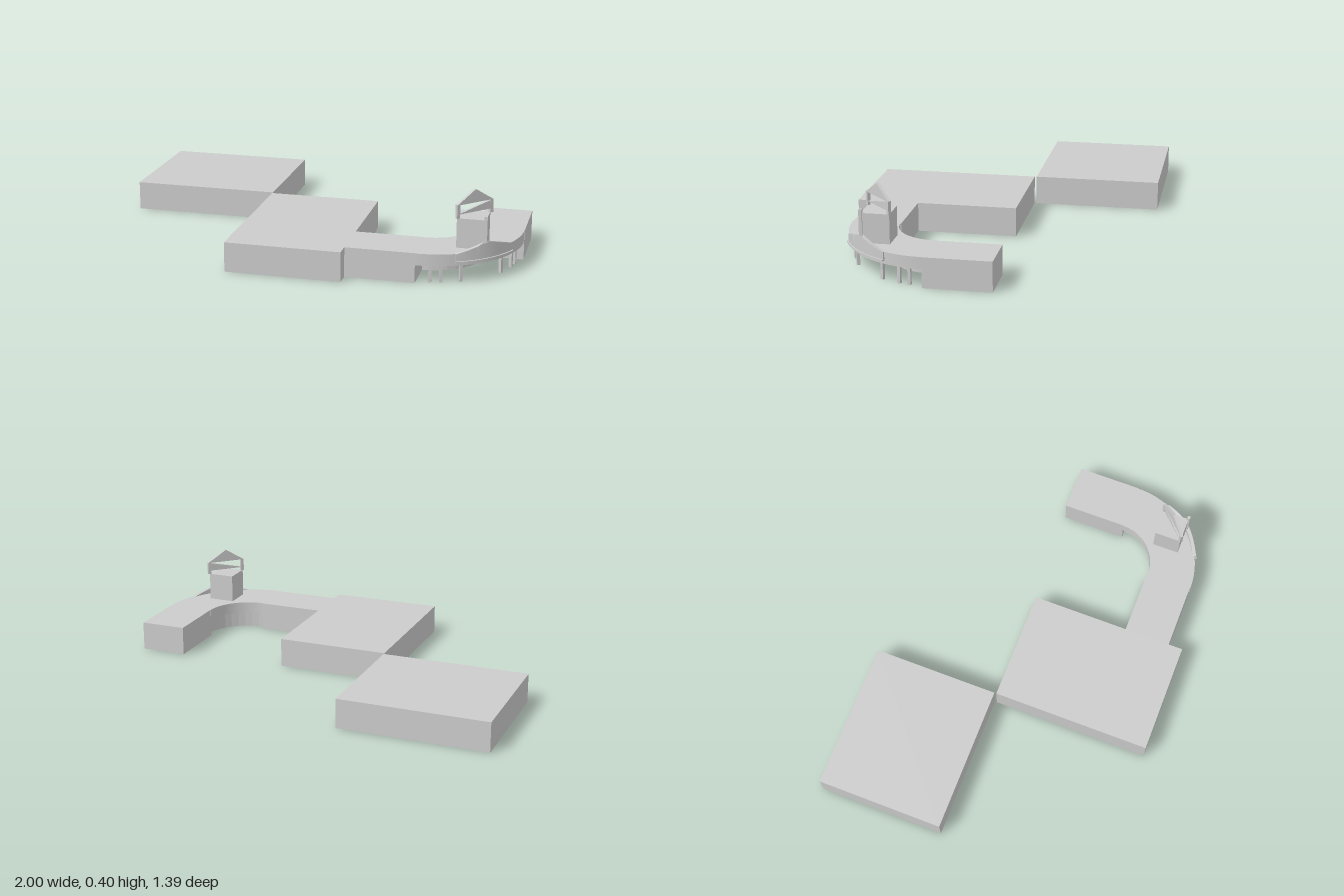
import * as THREE from 'three';
import { toCreasedNormals } from 'three/addons/utils/BufferGeometryUtils.js';

const CX = 0.57, CZ = 0.2; // centre of the curved wing
const rad = THREE.MathUtils.degToRad;

export function createModel() {
  const model = new THREE.Group();
  const mat = new THREE.MeshStandardMaterial({ color: 0xcccccc, side: THREE.DoubleSide });

  const add = (name, geo) => {
    const mesh = new THREE.Mesh(geo, mat);
    mesh.name = name;
    model.add(mesh);
    return mesh;
  };
  const block = (name, x0, x1, y0, y1, z0, z1) =>
    add(name, new THREE.BoxGeometry(x1 - x0, y1 - y0, z1 - z0))
      .position.set((x0 + x1) / 2, (y0 + y1) / 2, (z0 + z1) / 2);

  // Ring sector between two radii and angles (0 = +x, 90 = +z)
  const sector = (r0, r1, a0, a1, y0, y1, segments = 24) => {
    const shape = new THREE.Shape();
    shape.absarc(CX, CZ, r1, rad(a0), rad(a1), false);
    shape.absarc(CX, CZ, r0, rad(a1), rad(a0), true);
    shape.closePath();
    const geo = new THREE.ExtrudeGeometry(shape, { depth: y1 - y0, bevelEnabled: false, curveSegments: segments });
    return geo.rotateX(Math.PI / 2).translate(0, y1, 0);
  };

  // Halls and straight wings
  block('rearHall', -1, -0.29, 0, 0.14, -0.7, -0.085);
  block('mainHall', -0.29, 0.25, 0, 0.14, -0.075, 0.695);
  block('frontWing', 0.25, 0.57, 0, 0.14, 0.4, 0.625);
  block('sideWing', 0.775, 1, 0, 0.14, -0.11, 0.2);

  // Curved upper storey, open beneath
  add('curvedStorey', toCreasedNormals(sector(0.203, 0.428, 0, 90, 0.085, 0.14), 0.5));

  // Faceted wall set back below the curve
  add('innerWall', sector(0.235, 0.25, 0, 90, 0, 0.085, 5));

  // Slim columns along the outer edge
  for (const a of [9, 16, 29, 61, 74, 81]) {
    const column = add('column', new THREE.BoxGeometry(0.014, 0.085, 0.014));
    column.position.set(CX + 0.4 * Math.cos(rad(a)), 0.0425, CZ + 0.4 * Math.sin(rad(a)));
    column.rotation.y = -rad(a);
  }

  // Curved parapet whose top rises to a peak in the middle
  const gable = sector(0.418, 0.435, 24, 66, 0.1, 0.14);
  const p = gable.attributes.position;
  for (let i = 0; i < p.count; i++) {
    if (p.getY(i) < 0.13) continue;
    const a = Math.atan2(p.getZ(i) - CZ, p.getX(i) - CX) / rad(1);
    p.setY(i, 0.14 + 0.042 * (1 - Math.abs(a - 45) / 21));
  }
  add('gableParapet', toCreasedNormals(gable, 0.5));
  add('entranceLedge', toCreasedNormals(sector(0.428, 0.442, 24, 66, 0.1, 0.107), 0.5));

  // Tower block and its corner post
  block('tower', 0.732, 0.862, 0.14, 0.277, 0.375, 0.505);
  block('cornerPost', 0.855, 0.87, 0.1, 0.295, 0.497, 0.512);

  // Thin upright pieces on the tower's diagonal
  const diagonal = (name, points, depth) => {
    const shape = new THREE.Shape(points.map(([x, y]) => new THREE.Vector2(x, y)));
    const geo = new THREE.ExtrudeGeometry(shape, { depth, bevelEnabled: false }).translate(0, 0, -depth / 2);
    const mesh = add(name, geo);
    mesh.position.set(0.8, 0, 0.44);
    mesh.rotation.y = Math.PI / 4;
  };
  diagonal('towerGable', [[-0.099, 0.338], [0.099, 0.338], [0, 0.4]], 0.014);
  diagonal('towerPanel', [[-0.095, 0.295], [0.095, 0.295], [0.095, 0.338]], 0.012);
  for (const s of [-1, 1]) {
    const x = s * 0.091;
    diagonal('gablePost', [[x - 0.008, 0.277], [x + 0.008, 0.277], [x + 0.008, 0.34], [x - 0.008, 0.34]], 0.014);
  }

  return model;
}
